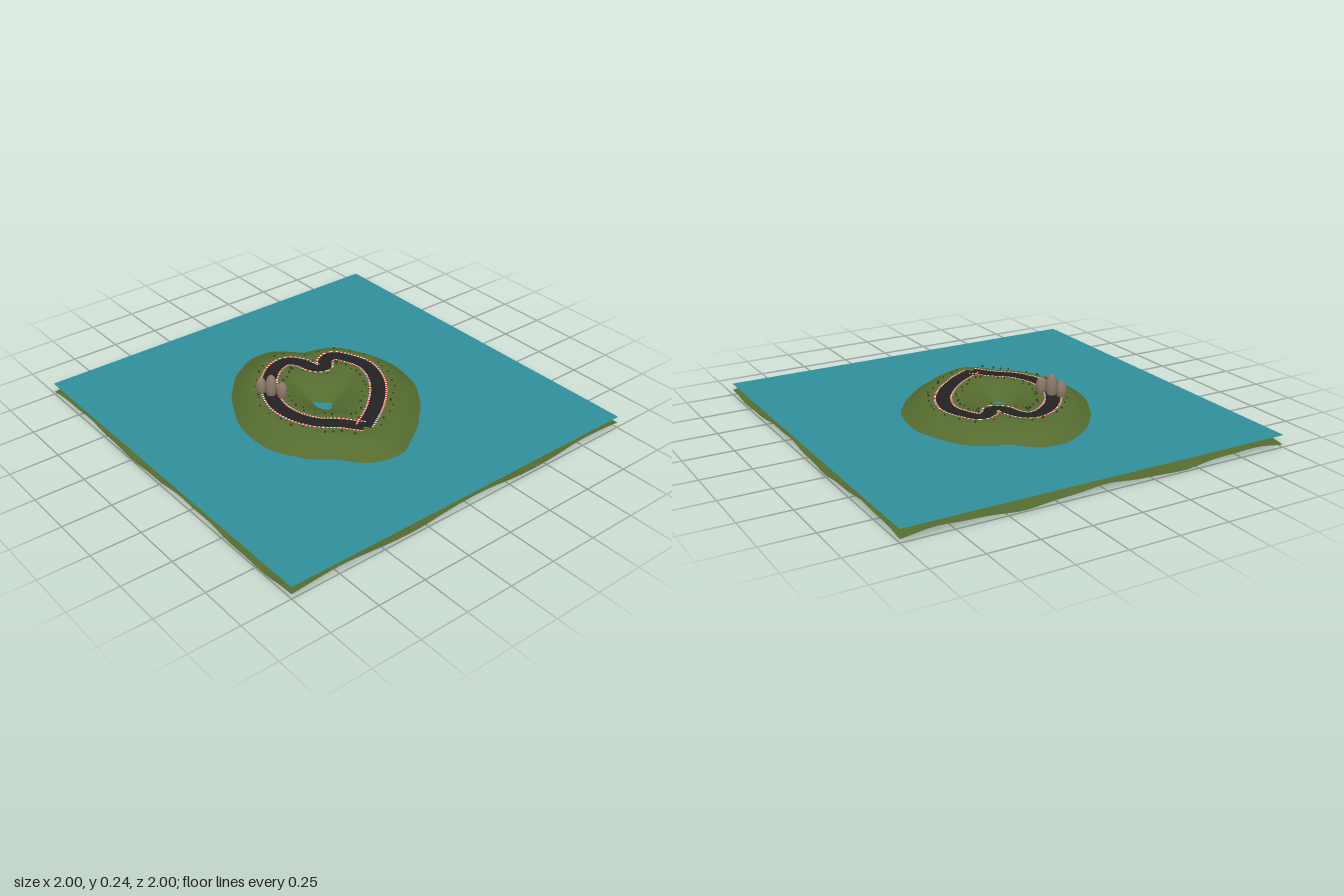
import * as THREE from 'three';
import { mergeGeometries } from 'three/addons/utils/BufferGeometryUtils.js';

const PLATEAU = 0.132, WATER = 0.065, STEPS = 240;

const mat = (name, color, side = THREE.FrontSide) => {
  const m = new THREE.MeshStandardMaterial({ color, side });
  m.name = name;
  return m;
};

// Centre line of the circuit as [x, z], starting and ending at the sharp corner
const circuit = new THREE.CatmullRomCurve3([
  [0.37, 0.09], [0.28, -0.05], [0.17, -0.17], [0.06, -0.245], [-0.065, -0.28],
  [-0.165, -0.255], [-0.24, -0.205], [-0.225, -0.15], [-0.175, -0.1], [-0.2, -0.06],
  [-0.29, -0.035], [-0.34, 0.01], [-0.33, 0.085], [-0.26, 0.18], [-0.155, 0.255],
  [-0.03, 0.3], [0.085, 0.295], [0.2, 0.245], [0.28, 0.16], [0.37, 0.09],
].map(([x, z]) => new THREE.Vector3(x, 0, z)));
const line = circuit.getSpacedPoints(STEPS);

// Point on the circuit moved sideways by a given offset
function beside(t, offset, y) {
  const p = circuit.getPointAt(t), d = circuit.getTangentAt(t);
  return new THREE.Vector3(p.x - d.z * offset, y, p.z + d.x * offset);
}

// Flat strip along the circuit, keeping only the steps that pass the filter
function ribbon(inner, outer, y, keep = () => true) {
  const pos = [], index = [];
  for (let i = 0; i < STEPS; i++) {
    if (!keep(i)) continue;
    const k = pos.length / 3;
    for (const [s, o] of [[i, inner], [i, outer], [i + 1, inner], [i + 1, outer]]) {
      pos.push(...beside(s / STEPS, o, y).toArray());
    }
    index.push(k, k + 1, k + 2, k + 1, k + 3, k + 2);
  }
  const g = new THREE.BufferGeometry();
  g.setAttribute('position', new THREE.Float32BufferAttribute(pos, 3));
  const up = pos.map((_, i) => (i % 3 === 1 ? 1 : 0));
  g.setAttribute('normal', new THREE.Float32BufferAttribute(up, 3));
  g.setIndex(index);
  return g;
}

// Rolling sea bed, raised to a plateau near the circuit
function groundHeight(x, z) {
  let d = Infinity;
  for (const p of line) d = Math.min(d, Math.hypot(x - p.x, z - p.z));
  const bed = 0.03 + 0.013 * Math.sin(6.6 * (x - 0.02)) + 0.012 * Math.cos(8.1 * (z + 0.02))
    + 0.003 * Math.sin(24 * x + 1) * Math.cos(22 * z);
  const rise = 1 - THREE.MathUtils.smoothstep(d, 0.06, 0.3);
  return Math.max(0, bed + (PLATEAU - bed) * rise);
}

function terrainGeometry() {
  const g = new THREE.PlaneGeometry(2, 2, 128, 128).rotateX(-Math.PI / 2);
  const p = g.attributes.position;
  for (let i = 0; i < p.count; i++) p.setY(i, groundHeight(p.getX(i), p.getZ(i)));
  g.computeVertexNormals();
  return g;
}

// Small repeatable number generator
function seeded(seed) {
  return () => (seed = (seed * 16807) % 2147483647) / 2147483647;
}

export function createModel() {
  const group = new THREE.Group();
  const add = (name, geometry, material) => {
    const m = new THREE.Mesh(geometry, material);
    m.name = name;
    group.add(m);
    return m;
  };

  const grass = mat('olive grass', 0x556b2f, THREE.DoubleSide);
  const sea = mat('teal water', 0x2e8f9b, THREE.DoubleSide);
  const asphalt = mat('asphalt', 0x222222, THREE.DoubleSide);
  const red = mat('kerb red', 0xcc3333, THREE.DoubleSide);
  const white = mat('kerb white', 0xdddddd, THREE.DoubleSide);
  const stone = mat('brown stone', 0x8b7765);
  const shrub = mat('dark shrub', 0x2f3d1c);

  add('terrain', terrainGeometry(), grass);
  add('water', new THREE.PlaneGeometry(2, 2).rotateX(-Math.PI / 2).translate(0, WATER, 0), sea);

  // Road with striped kerbs on both edges
  add('road', ribbon(-0.035, 0.035, PLATEAU + 0.003), asphalt);
  const kerb = (parity) => mergeGeometries([-0.045, 0.035].map((o) =>
    ribbon(o, o + 0.01, PLATEAU + 0.005, (i) => i % 2 === parity)));
  add('redKerb', kerb(0), red);
  add('whiteKerb', kerb(1), white);

  // Tiny shrubs scattered along both verges
  const rand = seeded(7);
  const shrubs = [];
  for (let i = 0; i < 36; i++) {
    for (const side of [-1, 1]) {
      const p = beside((i + rand() * 0.8) / 36, side * (0.06 + rand() * 0.025), 0);
      const size = 0.004 + rand() * 0.003;
      shrubs.push(new THREE.IcosahedronGeometry(size, 0)
        .translate(p.x, groundHeight(p.x, p.z) + size + rand() * 0.006, p.z));
    }
  }
  add('shrubs', mergeGeometries(shrubs), shrub);

  // Three standing egg-shaped boulders: x, z, radius, half height, centre height
  for (const [x, z, r, h, y] of [
    [-0.185, 0.285, 0.027, 0.05, 0.165],
    [-0.138, 0.258, 0.029, 0.068, 0.174],
    [-0.086, 0.23, 0.027, 0.05, 0.165],
  ]) {
    const boulder = add('boulder', new THREE.SphereGeometry(1, 24, 16), stone);
    boulder.scale.set(r, h, r);
    boulder.position.set(x, y, z);
  }
  return group;
}
